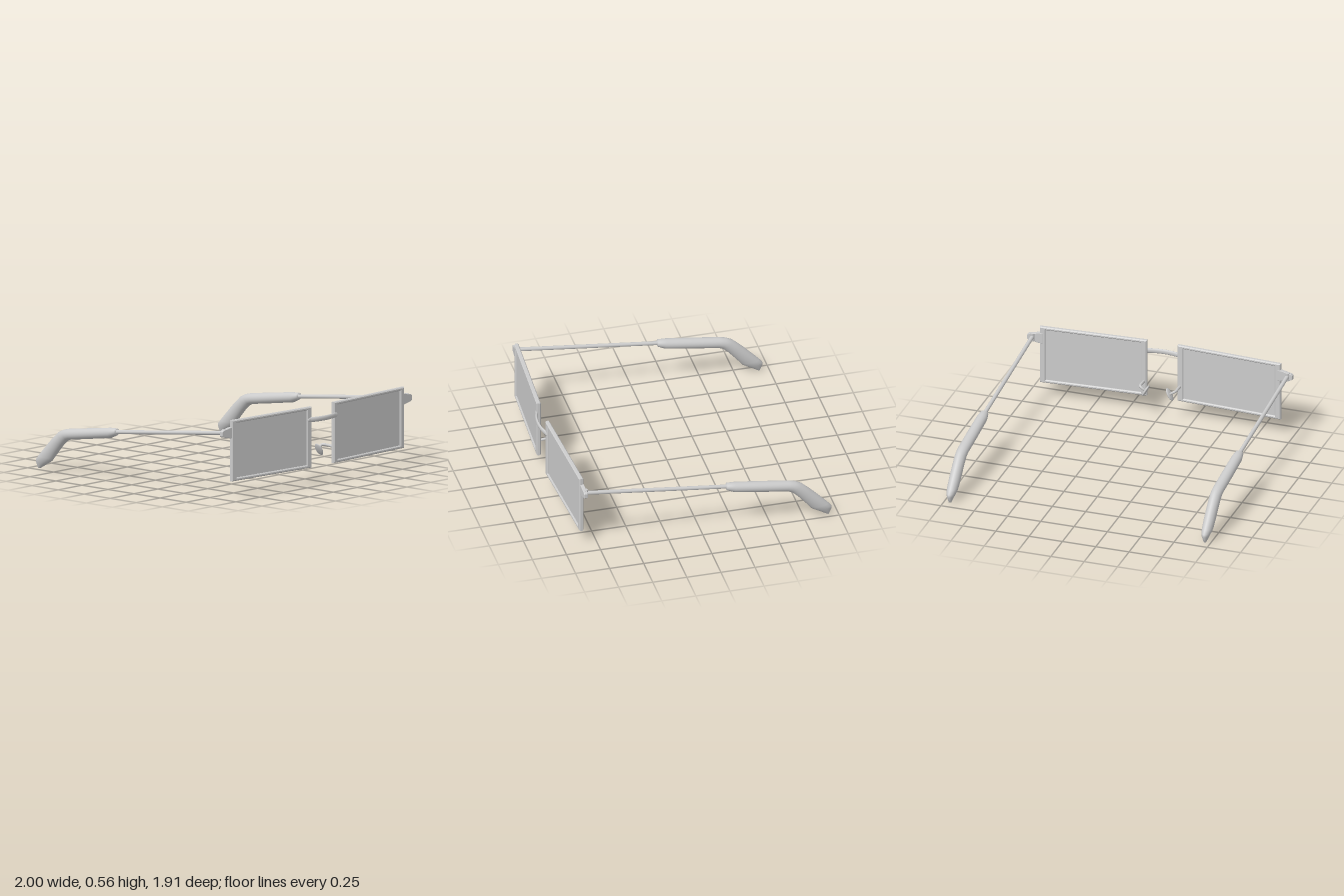
import * as THREE from 'three';

const mat = new THREE.MeshStandardMaterial({ color: 0xcccccc });
const V = (x, y, z) => new THREE.Vector3(x, y, z);

function add(parent, name, geometry) {
  const mesh = new THREE.Mesh(geometry, mat);
  mesh.name = name;
  parent.add(mesh);
  return mesh;
}

function rect(target, w, h) {
  target.moveTo(-w / 2, -h / 2);
  target.lineTo(w / 2, -h / 2);
  target.lineTo(w / 2, h / 2);
  target.lineTo(-w / 2, h / 2);
  target.closePath();
  return target;
}

// Rim: rectangular ring with bevelled edges, centred on its own depth
function rimGeometry() {
  const b = 0.007;
  const shape = rect(new THREE.Shape(), 0.79 - 2 * b, 0.44 - 2 * b);
  shape.holes.push(rect(new THREE.Path(), 0.7 + 2 * b, 0.394 + 2 * b));
  const g = new THREE.ExtrudeGeometry(shape, {
    depth: 0.018, bevelSize: b, bevelThickness: b, bevelSegments: 1
  });
  return g.translate(0, 0, -0.009);
}

// Temple sleeve sections: top z, top y, bottom z, bottom y, half width
const SLEEVE = [
  [-0.18, 0.38, -0.18, 0.345, 0.02],
  [-0.188, 0.39, -0.186, 0.338, 0.03],
  [-0.25, 0.387, -0.235, 0.315, 0.039],
  [-0.45, 0.359, -0.435, 0.284, 0.041],
  [-0.64, 0.332, -0.62, 0.256, 0.041],
  [-0.69, 0.32, -0.645, 0.249, 0.041],
  [-0.735, 0.299, -0.665, 0.236, 0.041],
  [-0.8, 0.24, -0.7, 0.205, 0.041],
  [-0.88, 0.158, -0.748, 0.15, 0.041],
  [-0.93, 0.105, -0.79, 0.1, 0.039],
  [-0.952, 0.08, -0.805, 0.08, 0.035],
  [-0.955, 0.06, -0.86, 0.048, 0.026],
  [-0.935, 0.012, -0.915, 0.016, 0.01]
];

// Closed loft of elliptical rings along the bent sleeve
function sleeveGeometry() {
  const n = 24, pos = [], idx = [];
  for (const [tz, ty, bz, by, w] of SLEEVE) {
    for (let j = 0; j < n; j++) {
      const a = (j / n) * Math.PI * 2, k = Math.cos(a) / 2;
      pos.push(Math.sin(a) * w, (ty + by) / 2 + (ty - by) * k, (tz + bz) / 2 + (tz - bz) * k);
    }
  }
  const last = SLEEVE.length - 1;
  for (let i = 0; i < last; i++) {
    for (let j = 0; j < n; j++) {
      const a = i * n + j, b = i * n + (j + 1) % n;
      idx.push(a, b, a + n, b, b + n, a + n);
    }
  }
  for (let j = 1; j < n - 1; j++) {
    idx.push(0, j + 1, j);
    idx.push(last * n, last * n + j, last * n + j + 1);
  }
  const g = new THREE.BufferGeometry();
  g.setAttribute('position', new THREE.Float32BufferAttribute(pos, 3));
  g.setIndex(idx);
  g.computeVertexNormals();
  return g;
}

// Straight round rod between two points
function rod(a, b, r) {
  const d = b.clone().sub(a);
  const g = new THREE.CylinderGeometry(r, r, d.length(), 16);
  g.applyQuaternion(new THREE.Quaternion().setFromUnitVectors(V(0, 1, 0), d.normalize()));
  const m = a.clone().add(b).multiplyScalar(0.5);
  return g.translate(m.x, m.y, m.z);
}

function buildSide(s) {
  const side = new THREE.Group();
  side.name = s > 0 ? 'leftSide' : 'rightSide';

  // Rim and lens, swept back slightly toward the temple
  const eye = new THREE.Group();
  eye.name = 'framedLens';
  eye.position.set(s * 0.51, 0.35, 0.886);
  eye.rotation.y = s * 0.055;
  side.add(eye);
  add(eye, 'rim', rimGeometry());
  add(eye, 'lens', new THREE.BoxGeometry(0.71, 0.404, 0.01));

  // Tapered end piece with hinge barrel
  const lug = new THREE.Shape([[0.885, 0.445], [0.91, 0.445], [0.985, 0.46], [0.994, 0.468],
    [0.994, 0.494], [0.985, 0.502], [0.91, 0.517], [0.885, 0.517]].map(([x, y]) => new THREE.Vector2(s * x, y)));
  const piece = add(side, 'endPiece', new THREE.ExtrudeGeometry(lug, {
    depth: 0.02, bevelSize: 0.004, bevelThickness: 0.004, bevelSegments: 2
  }));
  // Set so the piece follows the sweep of the rim
  piece.position.set(0, 0, 0.9);
  piece.rotation.y = s * 0.055;
  const barrel = new THREE.CylinderGeometry(0.017, 0.017, 0.058, 16);
  add(side, 'hingeBarrel', barrel).position.set(s * 0.957, 0.482, 0.85);

  // Temple arm and sleeve
  add(side, 'templeArm', rod(V(s * 0.957, 0.484, 0.85), V(s * 0.957, 0.361, -0.21), 0.0145));
  add(side, 'templeSleeve', sleeveGeometry()).position.x = s * 0.957;

  // Nose pad on a bent wire
  const wire = new THREE.CatmullRomCurve3([
    V(s * 0.135, 0.245, 0.9), V(s * 0.135, 0.25, 0.85), V(s * 0.134, 0.25, 0.81),
    V(s * 0.126, 0.248, 0.795), V(s * 0.108, 0.236, 0.793), V(s * 0.092, 0.222, 0.798)
  ]);
  add(side, 'padWire', new THREE.TubeGeometry(wire, 24, 0.01, 10));
  const pad = add(side, 'nosePad', new THREE.SphereGeometry(1, 24, 16));
  pad.scale.set(0.011, 0.05, 0.033);
  pad.position.set(s * 0.09, 0.22, 0.802);
  pad.rotation.z = s * 0.5;
  return side;
}

export function createModel() {
  const glasses = new THREE.Group();
  glasses.name = 'eyeglasses';
  for (const s of [1, -1]) glasses.add(buildSide(s));

  // Bridge: bowed bar, flattened front to back, with rounded ends
  const bow = new THREE.CatmullRomCurve3([-0.14, -0.07, 0, 0.07, 0.14].map(
    x => V(x, 0, -0.026 * (x / 0.14) ** 2)));
  const bridge = new THREE.Group();
  bridge.name = 'bridge';
  bridge.position.set(0, 0.477, 0.943);
  add(bridge, 'bridgeBar', new THREE.TubeGeometry(bow, 32, 0.018, 16));
  // Squeeze depth of the round section about the bowed centreline
  const p = bridge.children[0].geometry.attributes.position;
  for (let i = 0; i < p.count; i++) {
    const c = -0.026 * (p.getX(i) / 0.14) ** 2;
    p.setZ(i, c + (p.getZ(i) - c) * 0.55);
  }
  bridge.children[0].geometry.computeVertexNormals();
  for (const s of [1, -1]) {
    const end = add(bridge, 'bridgeEnd', new THREE.SphereGeometry(0.018, 16, 12));
    end.scale.z = 0.6;
    end.position.set(s * 0.14, 0, -0.026);
  }
  glasses.add(bridge);
  return glasses;
}
